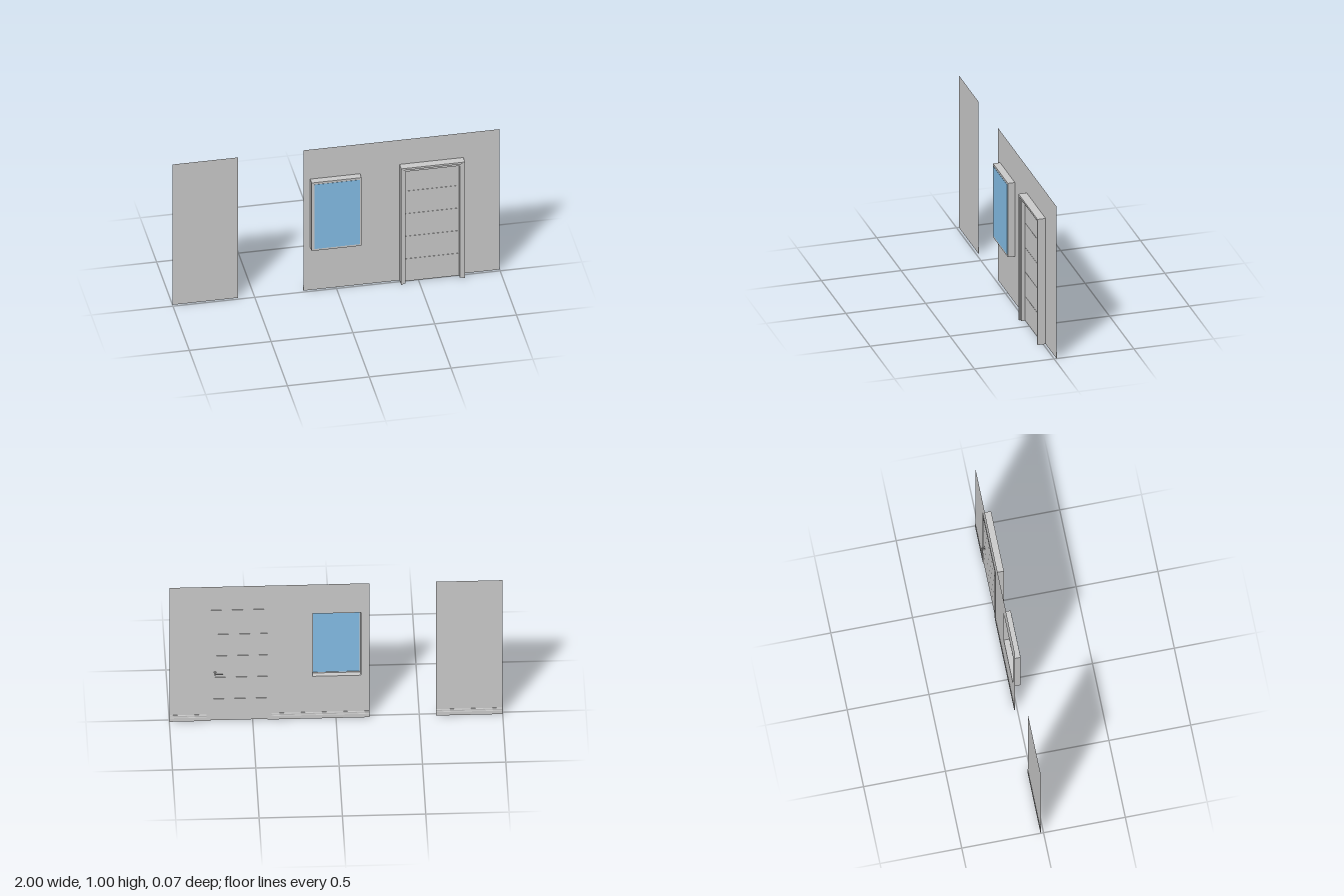
import * as THREE from 'three';

const WALL_Z = -0.015;
const grey = new THREE.MeshStandardMaterial({ color: 0xcccccc });
const greyThin = new THREE.MeshStandardMaterial({ color: 0xcccccc, side: THREE.DoubleSide });
const blue = new THREE.MeshStandardMaterial({ color: 0x85bfe8 });

function add(parent, name, geometry, material = grey) {
  const mesh = new THREE.Mesh(geometry, material);
  mesh.name = name;
  parent.add(mesh);
  return mesh;
}

// Box given by its minimum and maximum on each axis
function box(parent, name, [x0, x1], [y0, y1], [z0, z1], material) {
  const mesh = add(parent, name, new THREE.BoxGeometry(x1 - x0, y1 - y0, z1 - z0), material);
  mesh.position.set((x0 + x1) / 2, (y0 + y1) / 2, (z0 + z1) / 2);
  return mesh;
}

const polygon = (points) => points.map(([x, y]) => new THREE.Vector2(x, y));
const rect = (x0, x1, y0, y1) => polygon([[x0, y0], [x1, y0], [x1, y1], [x0, y1]]);

// Closed rectangular frame
function ring(parent, name, outer, inner, z0, z1) {
  const shape = new THREE.Shape(rect(...outer));
  shape.holes.push(new THREE.Path(rect(...inner)));
  const geometry = new THREE.ExtrudeGeometry(shape, { depth: z1 - z0, bevelEnabled: false });
  return add(parent, name, geometry.translate(0, 0, z0));
}

// Two jambs and a head, open at the floor
function portal(parent, name, [ox0, ox1, oy], [ix0, ix1, iy], z0, z1) {
  const shape = new THREE.Shape(polygon([
    [ox0, 0], [ix0, 0], [ix0, iy], [ix1, iy], [ix1, 0], [ox1, 0], [ox1, oy], [ox0, oy],
  ]));
  const geometry = new THREE.ExtrudeGeometry(shape, { depth: z1 - z0, bevelEnabled: false });
  return add(parent, name, geometry.translate(0, 0, z0));
}

function createWalls() {
  const group = new THREE.Group();
  group.name = 'walls';
  const side = add(group, 'sideWall', new THREE.ShapeGeometry(new THREE.Shape(rect(-1, -0.6, 0, 1))), greyThin);
  side.position.z = WALL_Z;

  // Main wall runs around the doorway and has a window opening
  const outline = new THREE.Shape(polygon([
    [-0.2, 0], [0.39, 0], [0.39, 0.82], [0.776, 0.82], [0.776, 0], [1, 0], [1, 1], [-0.2, 1],
  ]));
  outline.holes.push(new THREE.Path(rect(-0.149, 0.14, 0.313, 0.782)));
  const main = add(group, 'mainWall', new THREE.ShapeGeometry(outline), greyThin);
  main.position.z = WALL_Z;
  return group;
}

// Moulded skirting on the back of the walls
function createBaseboards() {
  const group = new THREE.Group();
  group.name = 'baseboards';
  const profile = new THREE.Shape(polygon([
    [0, 0], [0.0035, 0], [0.0035, 0.026], [0.0022, 0.03], [0.0022, 0.034],
    [0.003, 0.037], [0.0025, 0.042], [0.001, 0.046], [0, 0.046],
  ]));
  for (const [x0, x1] of [[-1, -0.6], [-0.2, 0.388], [0.778, 1]]) {
    const geometry = new THREE.ExtrudeGeometry(profile, { depth: x1 - x0, bevelEnabled: false });
    geometry.rotateY(Math.PI / 2).translate(x0, 0, WALL_Z);
    add(group, 'baseboard', geometry);
  }
  return group;
}

function createWindow() {
  const group = new THREE.Group();
  group.name = 'window';
  ring(group, 'windowReveal', [-0.158, 0.147, 0.305, 0.79], [-0.149, 0.14, 0.313, 0.782], WALL_Z, 0.029);
  ring(group, 'windowSash', [-0.149, 0.14, 0.313, 0.782], [-0.142, 0.136, 0.318, 0.776], 0.018, 0.029);
  box(group, 'windowGlass', [-0.142, 0.136], [0.318, 0.776], [0.021, 0.0305], blue);
  return group;
}

function createDoor() {
  const group = new THREE.Group();
  group.name = 'door';

  // Stepped frame: lining, stop and trims on both faces
  portal(group, 'doorLining', [0.388, 0.778, 0.826], [0.402, 0.764, 0.811], WALL_Z, 0.032);
  portal(group, 'doorFrontTrim', [0.388, 0.778, 0.826], [0.4, 0.766, 0.813], 0.032, 0.036);
  portal(group, 'doorBackTrim', [0.388, 0.778, 0.826], [0.412, 0.754, 0.8], -0.0175, -0.013);
  portal(group, 'doorStop', [0.402, 0.764, 0.811], [0.416, 0.748, 0.796], 0.003, 0.026);

  // Leaf of five boards with narrow grooves over a thinner core
  const top = 0.804, rows = 5, step = top / rows, gap = 0.0025;
  box(group, 'doorCore', [0.405, 0.761], [0.002, top], [-0.011, 0.001]);
  for (let i = 0; i < rows; i++) {
    box(group, 'doorBoard', [0.403, 0.763],
      [i * step + gap / 2, (i + 1) * step - gap / 2], [-0.0135, 0.003]);
  }

  // Lever handle on the back
  const handle = new THREE.Group();
  handle.name = 'doorHandle';
  handle.position.set(0.726, 0.357, 0);
  const disc = (name, radius, y, z0, z1) => {
    const geometry = new THREE.CylinderGeometry(radius, radius, z1 - z0, 20);
    geometry.rotateX(Math.PI / 2).translate(0, y, (z0 + z1) / 2);
    add(handle, name, geometry);
  };
  disc('handleRosette', 0.009, 0, -0.017, -0.013);
  disc('keyRosette', 0.007, -0.026, -0.016, -0.013);
  const path = new THREE.CurvePath();
  const v = (x, z) => new THREE.Vector3(x, 0, z);
  path.add(new THREE.LineCurve3(v(0, -0.014), v(0, -0.026)));
  path.add(new THREE.QuadraticBezierCurve3(v(0, -0.026), v(0, -0.0325), v(-0.007, -0.0325)));
  path.add(new THREE.LineCurve3(v(-0.007, -0.0325), v(-0.045, -0.0325)));
  add(handle, 'handleLever', new THREE.TubeGeometry(path, 24, 0.0035, 10));
  const tip = add(handle, 'handleTip', new THREE.SphereGeometry(0.0035, 10, 8));
  tip.position.set(-0.045, 0, -0.0325);
  group.add(handle);
  return group;
}

export function createModel() {
  const model = new THREE.Group();
  model.name = 'wallWithDoorAndWindow';
  model.add(createWalls(), createBaseboards(), createWindow(), createDoor());
  return model;
}
